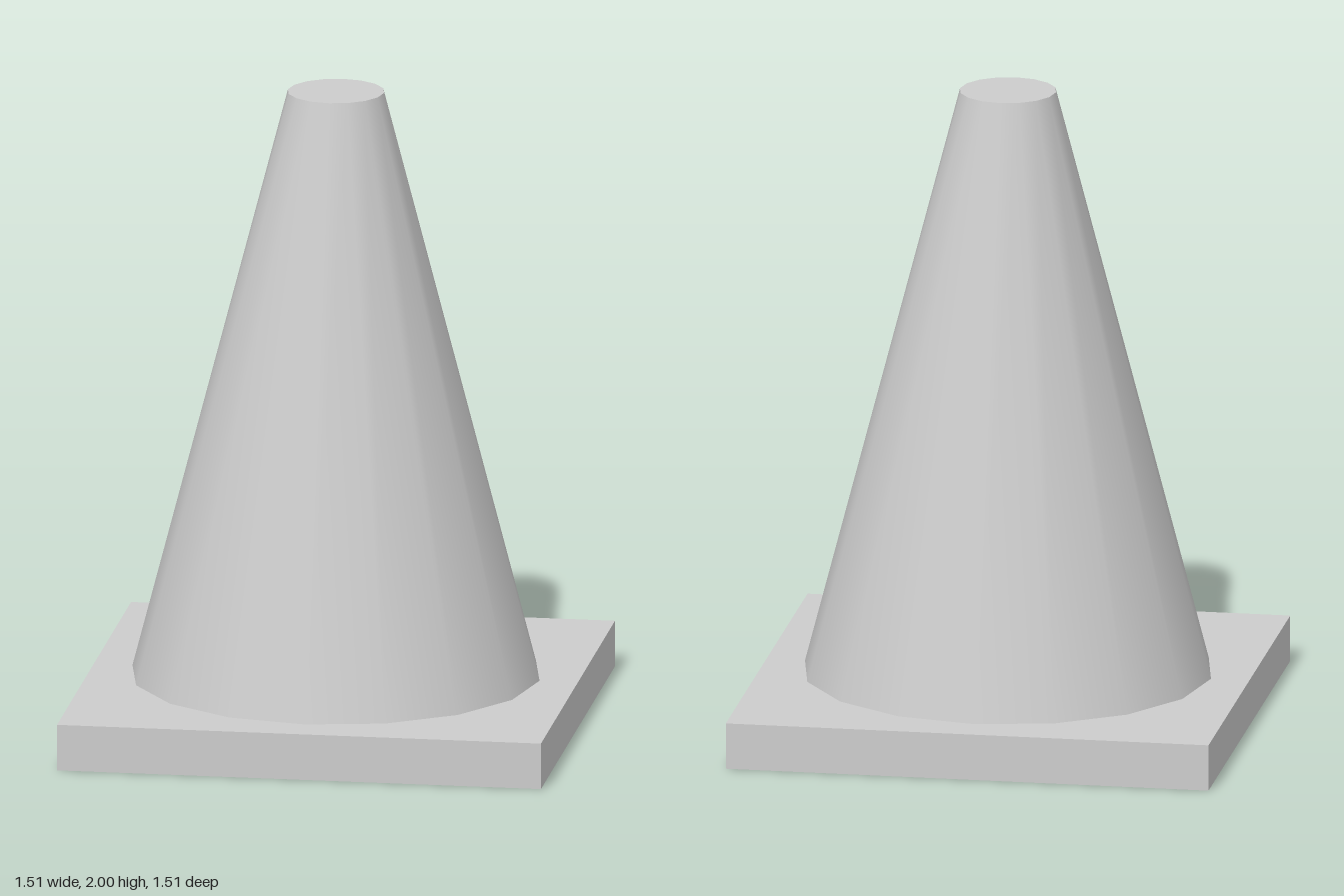
import * as THREE from 'three';

export function createModel() {
  const model = new THREE.Group();
  model.name = 'trafficCone';

  const grey = new THREE.MeshStandardMaterial({ color: 0xcccccc });
  grey.name = 'light grey';

  const baseHeight = 0.145;
  const coneHeight = 2 - baseHeight;

  // Square slab that the cone stands on
  const base = new THREE.Mesh(new THREE.BoxGeometry(1.51, baseHeight, 1.51), grey);
  base.name = 'base';
  base.position.y = baseHeight / 2;

  // Sixteen-sided tapered body with smooth sides and a flat top
  const cone = new THREE.Mesh(new THREE.CylinderGeometry(0.15, 0.635, coneHeight, 16), grey);
  cone.name = 'cone';
  cone.position.y = baseHeight + coneHeight / 2;

  model.add(base, cone);
  return model;
}
